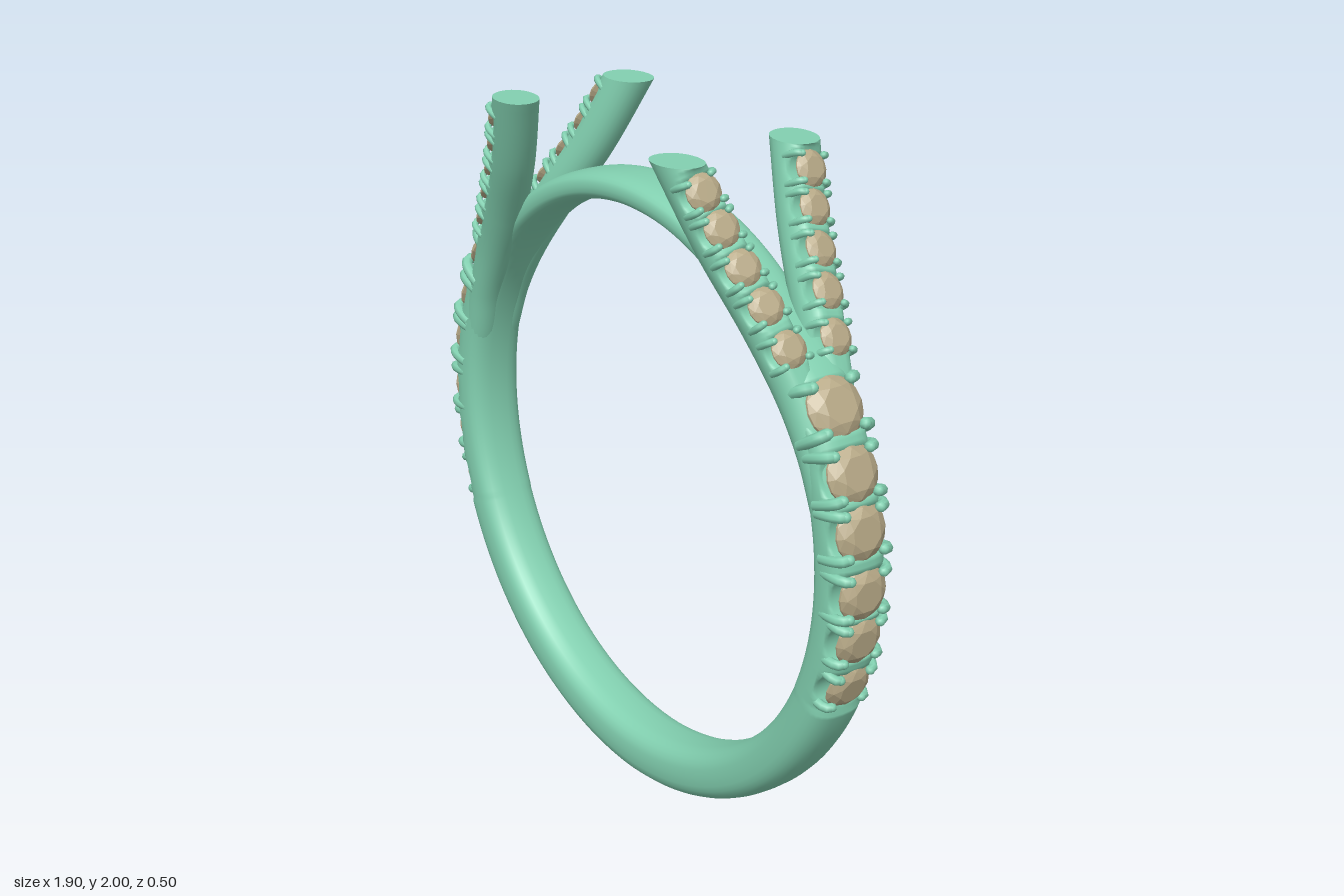
import * as THREE from 'three';
import { mergeGeometries } from 'three/addons/utils/BufferGeometryUtils.js';
import { ConvexGeometry } from 'three/addons/geometries/ConvexGeometry.js';

const V = (x, y, z) => new THREE.Vector3(x, y, z);
const metal = new THREE.MeshStandardMaterial({ color: 0x82d0b0 });
const stone = new THREE.MeshStandardMaterial({ color: 0xb8aa88, flatShading: true });
const CY = 0.955, INNER = 0.795, TOP = 2;

// Skin a list of rings (equal point counts, counter-clockwise about the path).
function skin(rings, closed, capEnd) {
  const n = rings[0].length, m = rings.length, pos = [], idx = [];
  rings.forEach(r => r.forEach(p => pos.push(p.x, p.y, p.z)));
  for (let i = 0; i < (closed ? m : m - 1); i++) {
    for (let j = 0; j < n; j++) {
      const a = i * n + j, b = i * n + (j + 1) % n;
      const c = ((i + 1) % m) * n + j, d = ((i + 1) % m) * n + (j + 1) % n;
      idx.push(a, b, c, b, d, c);
    }
  }
  if (capEnd) {
    const last = rings[m - 1], base = pos.length / 3, mid = V(0, 0, 0);
    last.forEach(p => { pos.push(p.x, p.y, p.z); mid.addScaledVector(p, 1 / n); });
    pos.push(mid.x, mid.y, mid.z);
    for (let j = 0; j < n; j++) idx.push(base + j, base + (j + 1) % n, base + n);
  }
  const g = new THREE.BufferGeometry();
  g.setAttribute('position', new THREE.Float32BufferAttribute(pos, 3));
  g.setIndex(idx);
  g.computeVertexNormals();
  return g;
}

// Rounded section point; e = 1 is an ellipse, smaller is boxier.
function sectionPoint(a, hu, hv, e) {
  const f = q => Math.sign(q) * Math.pow(Math.abs(q), e);
  return [hu * f(Math.cos(a)), hv * f(Math.sin(a))];
}

// Scallop depth 0..1 at position s, given [centre, halfWidth] of each seat.
const scallop = (s, seats) => Math.max(0, ...seats.map(([c, w]) =>
  Math.sqrt(Math.max(0, 1 - ((s - c) / w) ** 2))));

// Unit brilliant-cut gem: girdle at y = 0, table facing +y.
function gemGeometry() {
  const pts = [V(0, -0.6, 0)];
  const ring = (n, r, y, off) => {
    for (let i = 0; i < n; i++) {
      const a = off + i * 2 * Math.PI / n;
      pts.push(V(r * Math.cos(a), y, r * Math.sin(a)));
    }
  };
  ring(16, 1, -0.04, 0);
  ring(16, 1, 0.04, 0);
  ring(8, 0.83, 0.22, 0);
  ring(8, 0.58, 0.35, Math.PI / 8);
  return new ConvexGeometry(pts);
}

// Four bent claws round a unit gem.
function prongGeometry() {
  const parts = [];
  for (const sx of [-1, 1]) for (const sz of [-1, 1]) {
    const tip = V(0.7 * sx, 0.22, 0.72 * sz);
    const path = new THREE.QuadraticBezierCurve3(
      V(0.75 * sx, -0.8, 1.02 * sz), V(0.75 * sx, 0.26, 1.12 * sz), tip);
    parts.push(new THREE.TubeGeometry(path, 6, 0.19, 8));
    parts.push(new THREE.SphereGeometry(0.19, 8, 6).translate(tip.x, tip.y, tip.z));
  }
  return mergeGeometries(parts);
}

// Band gems as [angle above the horizontal, radius].
const bandGems = [[0.66, 0.07], [0.81, 0.073], [0.95, 0.077], [1.12, 0.081], [1.27, 0.082], [1.43, 0.087]]
  .map(([y, r]) => [Math.asin((y - CY) / 0.93), r]);
const armGems = [1.54, 1.64, 1.73, 1.825, 1.915];
const ARM_GEM_R = 0.051;

// Hoop: plain below, scalloped on the shoulders, slim across the top.
function bandGeometry() {
  const N = 480, M = 28, rings = [];
  const seats = bandGems.map(([a, r]) => [a, r * 0.8 / 0.93]);
  const plainEnd = -0.41;
  for (let i = 0; i < N; i++) {
    const th = i / N * Math.PI * 2;
    const phi = Math.min(th, 2 * Math.PI - th) - Math.PI / 2;
    let outer, cap = 9;
    if (phi < plainEnd) {
      outer = THREE.MathUtils.mapLinear(phi, -Math.PI / 2, plainEnd, 0.955, 0.943);
    } else {
      const k = THREE.MathUtils.smoothstep(phi, 0.55, 0.9);
      outer = THREE.MathUtils.lerp(0.932, 0.88, k);
      cap = outer - 0.045 * scallop(phi, seats);
    }
    const mid = (INNER + outer) / 2, half = (outer - INNER) / 2;
    const ring = [];
    for (let j = 0; j < M; j++) {
      const [u, v] = sectionPoint(j / M * Math.PI * 2, half, 0.091, 0.75);
      const r = Math.min(mid + u, cap);
      ring.push(V(r * Math.sin(th), CY - r * Math.cos(th), -v));
    }
    rings.push(ring);
  }
  return skin(rings, true, false);
}

// Path of one forked arm, and the frame (point, tangent, outward, side) on it.
const armCurve = (sx, sz) => new THREE.CatmullRomCurve3([
  [0.827, 1.15, 0.036], [0.775, 1.3, 0.045], [0.7, 1.45, 0.057], [0.61, 1.6, 0.084],
  [0.475, 1.8, 0.138], [0.37, 2, 0.19], [0.32, 2.1, 0.215],
].map(([x, y, z]) => V(x * sx, y, z * sz)));

function frame(curve, s, sx) {
  const p = curve.getPoint(s), t = curve.getTangent(s);
  const u = V(sx, 0, 0).addScaledVector(t, -t.x * sx).normalize();
  return { p, t, u, v: t.clone().cross(u) };
}

function armGeometry(curve, sx) {
  const N = 150, M = 24, rings = [];
  const seats = armGems.map(y => [y, 0.036]);
  for (let i = 0; i <= N; i++) {
    const { p, t, u, v } = frame(curve, i / N, sx);
    const grow = THREE.MathUtils.smoothstep(p.y, 1.25, 1.65);
    const hu = 0.05 + 0.02 * grow, hv = 0.051 + 0.009 * grow;
    const cap = p.y > 1.965 ? 9 : 0.056 - 0.036 * scallop(p.y, seats);
    const ring = [];
    for (let j = 0; j < M; j++) {
      const [a, b] = sectionPoint(j / M * Math.PI * 2, hu, hv, 0.95);
      const q = p.clone().addScaledVector(u, Math.min(a, cap)).addScaledVector(v, b);
      // trim level at the top
      if (q.y > TOP) q.addScaledVector(t, (TOP - q.y) / t.y);
      ring.push(q);
    }
    rings.push(ring);
  }
  return skin(rings, false, true);
}

export function createModel() {
  const model = new THREE.Group();
  model.name = 'ring';
  const add = (name, geo, mat, parent = model) => {
    const mesh = new THREE.Mesh(geo, mat);
    mesh.name = name;
    parent.add(mesh);
    return mesh;
  };
  const gem = gemGeometry(), prongs = prongGeometry();

  // A gem with its claws, set at p with its table facing u.
  const setGem = (name, p, t, u, v, r) => {
    const g = new THREE.Group();
    g.name = name;
    add('gem', gem, stone, g);
    add('prongs', prongs, metal, g);
    g.quaternion.setFromRotationMatrix(new THREE.Matrix4().makeBasis(t, u, v));
    g.position.copy(p);
    g.scale.setScalar(r);
    model.add(g);
  };

  add('band', bandGeometry(), metal);

  for (const sx of [-1, 1]) {
    const side = sx > 0 ? 'left' : 'right';
    // shoulder gems
    for (const [a, r] of bandGems) {
      const u = V(sx * Math.cos(a), Math.sin(a), 0);
      const t = V(-sx * Math.sin(a), Math.cos(a), 0);
      const p = u.clone().multiplyScalar(0.945 - 0.35 * r).add(V(0, CY, 0));
      setGem(side + 'BandGem', p, t, u, t.clone().cross(u), r);
    }
    // forked arms with their smaller gems
    for (const sz of [-1, 1]) {
      const name = side + (sz > 0 ? 'Front' : 'Back') + 'Arm';
      const curve = armCurve(sx, sz);
      add(name, armGeometry(curve, sx), metal);
      for (const y of armGems) {
        // aim for the gem's own height, which sits above its point on the path
        let lo = 0, hi = 1;
        for (let i = 0; i < 24; i++) {
          const s = (lo + hi) / 2;
          if (curve.getPoint(s).y < y) lo = s; else hi = s;
        }
        const { p, t, u, v } = frame(curve, lo, sx);
        setGem(name + 'Gem', p.addScaledVector(u, 0.053), t, u, v, ARM_GEM_R);
      }
    }
  }
  return model;
}
